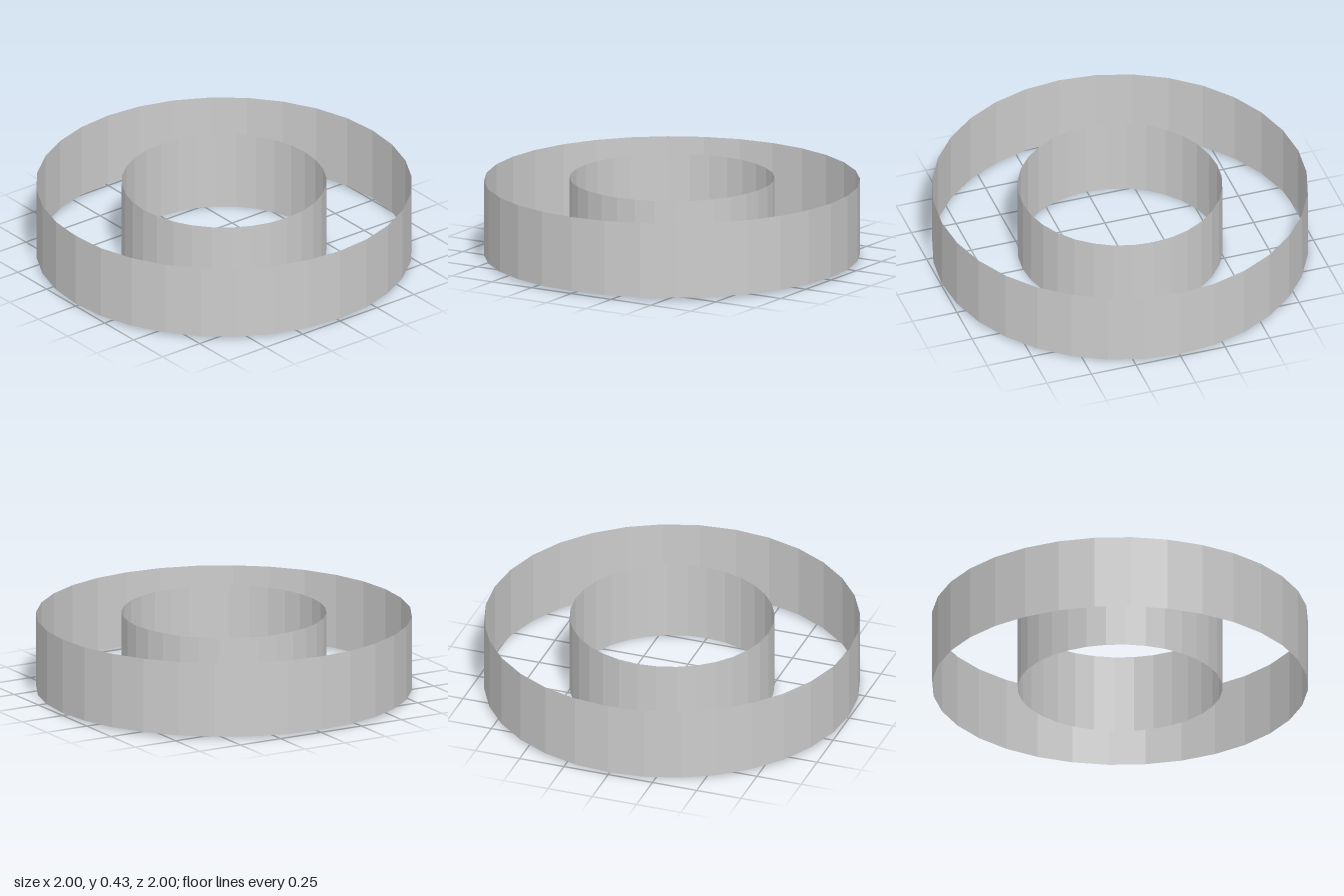
import * as THREE from 'three';

const SIDES = 32;
const MID_HEIGHT = 0.216;

export function createModel() {
  const group = new THREE.Group();
  const material = new THREE.MeshStandardMaterial({
    color: 0xcccccc,
    flatShading: true,
    side: THREE.DoubleSide,
  });

  // Thin open band, centred on the shared mid height
  const addBand = (name, radius, height) => {
    const geometry = new THREE.CylinderGeometry(radius, radius, height, SIDES, 1, true);
    const band = new THREE.Mesh(geometry, material);
    band.name = name;
    band.position.y = MID_HEIGHT;
    group.add(band);
  };

  addBand('outerRing', 1, 0.404);
  addBand('innerRing', 0.545, 0.432); // slightly taller than the outer ring

  return group;
}
